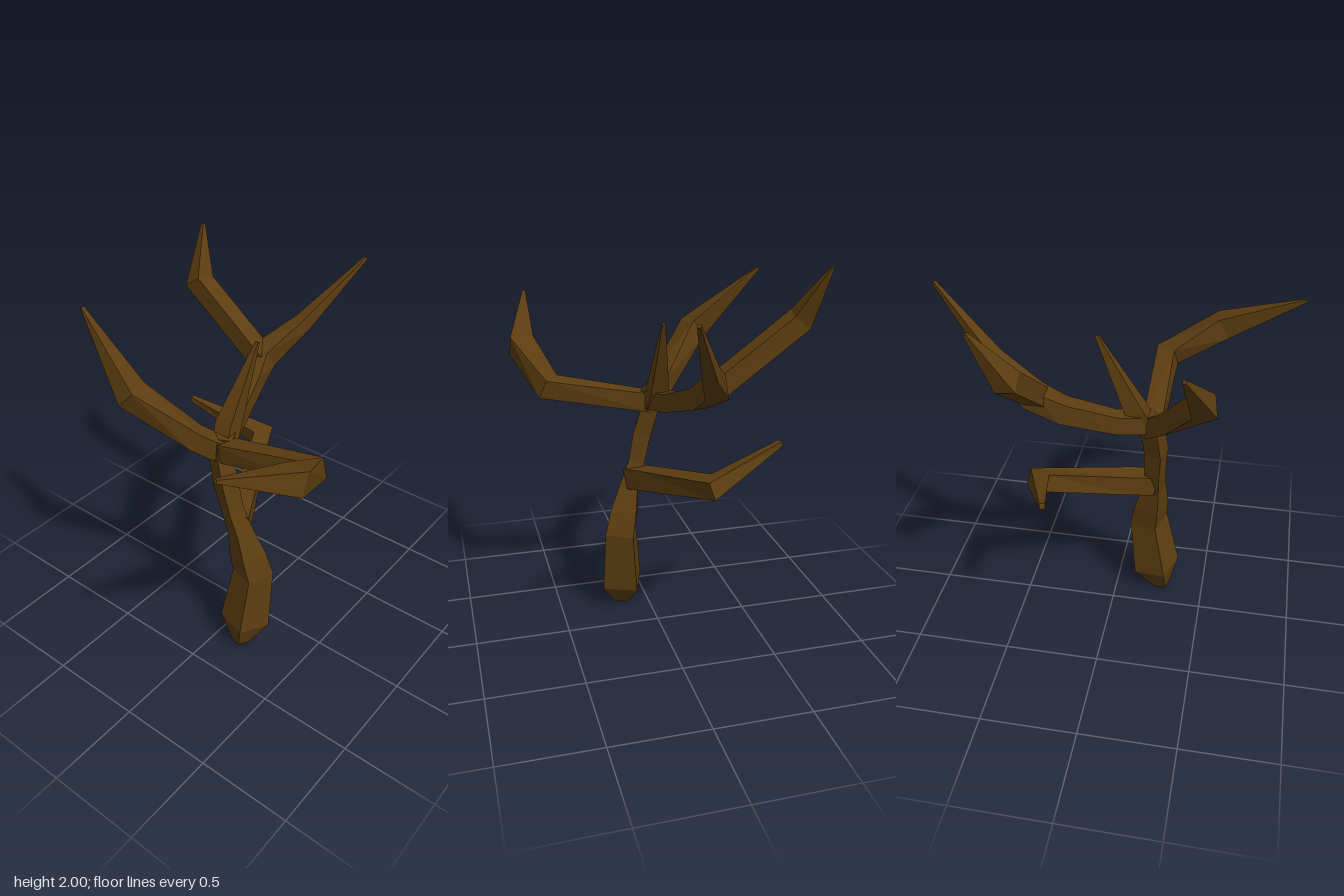
import * as THREE from 'three';

const V = (x, y, z) => new THREE.Vector3(x, y, z);

// Square-section limb lofted through nodes [x, y, z, halfWidth]; ref sets the roll of the section.
function limb(nodes, ref) {
  const pts = nodes.map(n => V(n[0], n[1], n[2]));
  const last = pts.length - 1;
  const dir = i => pts[i + 1].clone().sub(pts[i]).normalize();
  const pos = [], idx = [];
  pts.forEach((p, i) => {
    const d1 = dir(Math.max(i - 1, 0)), d2 = dir(Math.min(i, last - 1));
    const t = d1.clone().add(d2).normalize();
    const v = ref.clone().addScaledVector(t, -ref.dot(t)).normalize();
    const u = v.clone().cross(t);
    // widen the ring across the bend so elbows keep their thickness
    const bend = d2.clone().sub(d1).normalize();
    const grow = 1 / t.dot(d1) - 1;
    for (const [a, b] of [[1, 1], [-1, 1], [-1, -1], [1, -1]]) {
      const o = u.clone().multiplyScalar(a).addScaledVector(v, b).multiplyScalar(nodes[i][3]);
      o.addScaledVector(bend, o.dot(bend) * grow).add(p);
      pos.push(o.x, o.y, o.z);
    }
    if (i < last) {
      for (let k = 0; k < 4; k++) {
        const a = i * 4 + k, b = i * 4 + (k + 1) % 4;
        idx.push(a, b, b + 4, a, b + 4, a + 4);
      }
    }
  });
  const e = last * 4;
  idx.push(0, 2, 1, 0, 3, 2, e, e + 1, e + 2, e, e + 2, e + 3);
  const g = new THREE.BufferGeometry();
  g.setAttribute('position', new THREE.Float32BufferAttribute(pos, 3));
  g.setIndex(idx);
  const flat = g.toNonIndexed();
  flat.computeVertexNormals();
  return flat;
}

export function createModel() {
  const tree = new THREE.Group();
  tree.name = 'bareTree';
  const bark = new THREE.MeshStandardMaterial({ color: 0x5c3d10, flatShading: true });
  bark.name = 'bark';
  const up = V(0, 1, 0);
  const add = (name, nodes, ref = up) => {
    const m = new THREE.Mesh(limb(nodes, ref), bark);
    m.name = name;
    tree.add(m);
  };

  // Trunk with a tapered foot
  add('trunk', [
    [-0.265, 0.01, 0.145, 0.034], [-0.23, 0.15, 0.15, 0.095], [-0.175, 0.48, 0.165, 0.076],
    [-0.19, 0.6, 0.14, 0.07], [-0.205, 0.74, 0.108, 0.05], [-0.215, 0.88, 0.06, 0.043],
    [-0.222, 1.03, 0.028, 0.047], [-0.21, 1.17, -0.012, 0.045], [-0.2, 1.27, -0.02, 0.045],
  ], V(0.95, 0, 0.32));

  // Front branch that turns to the right
  add('frontBranch', [
    [-0.205, 1.21, -0.03, 0.05], [-0.205, 1.335, 0.53, 0.05],
    [-0.49, 1.49, 0.625, 0.06], [-0.91, 1.7, 0.55, 0.008],
  ]);

  // Long left branch
  add('leftBranch', [
    [-0.21, 1.23, 0.0, 0.05], [-0.03, 1.255, -0.08, 0.047], [0.22, 1.345, -0.16, 0.054],
    [0.36, 1.43, -0.19, 0.056], [0.58, 1.57, -0.09, 0.036], [0.907, 1.865, 0.07, 0.008],
  ]);

  // Fork rising back from the left branch
  add('backFork', [
    [0.345, 1.42, -0.18, 0.05], [0.35, 1.74, -0.61, 0.05], [0.485, 1.995, -0.69, 0.008],
  ], V(1, 0, 0));

  // Back right branch
  add('backBranch', [
    [-0.19, 1.2, -0.01, 0.05], [-0.29, 1.29, -0.1, 0.05],
    [-0.475, 1.54, -0.33, 0.057], [-0.415, 1.86, -0.68, 0.008],
  ]);

  // Short upright twig
  add('topTwig', [
    [-0.18, 1.2, -0.02, 0.045], [-0.12, 1.31, -0.035, 0.048], [0.08, 1.69, -0.01, 0.008],
  ], V(0, 0, 1));

  // Low branch that bends to the back
  add('lowBranch', [
    [-0.2, 0.79, 0.09, 0.055], [-0.1, 0.815, 0.04, 0.055],
    [0.36, 0.925, -0.19, 0.047], [0.23, 1.075, -0.59, 0.014],
  ]);

  return tree;
}
